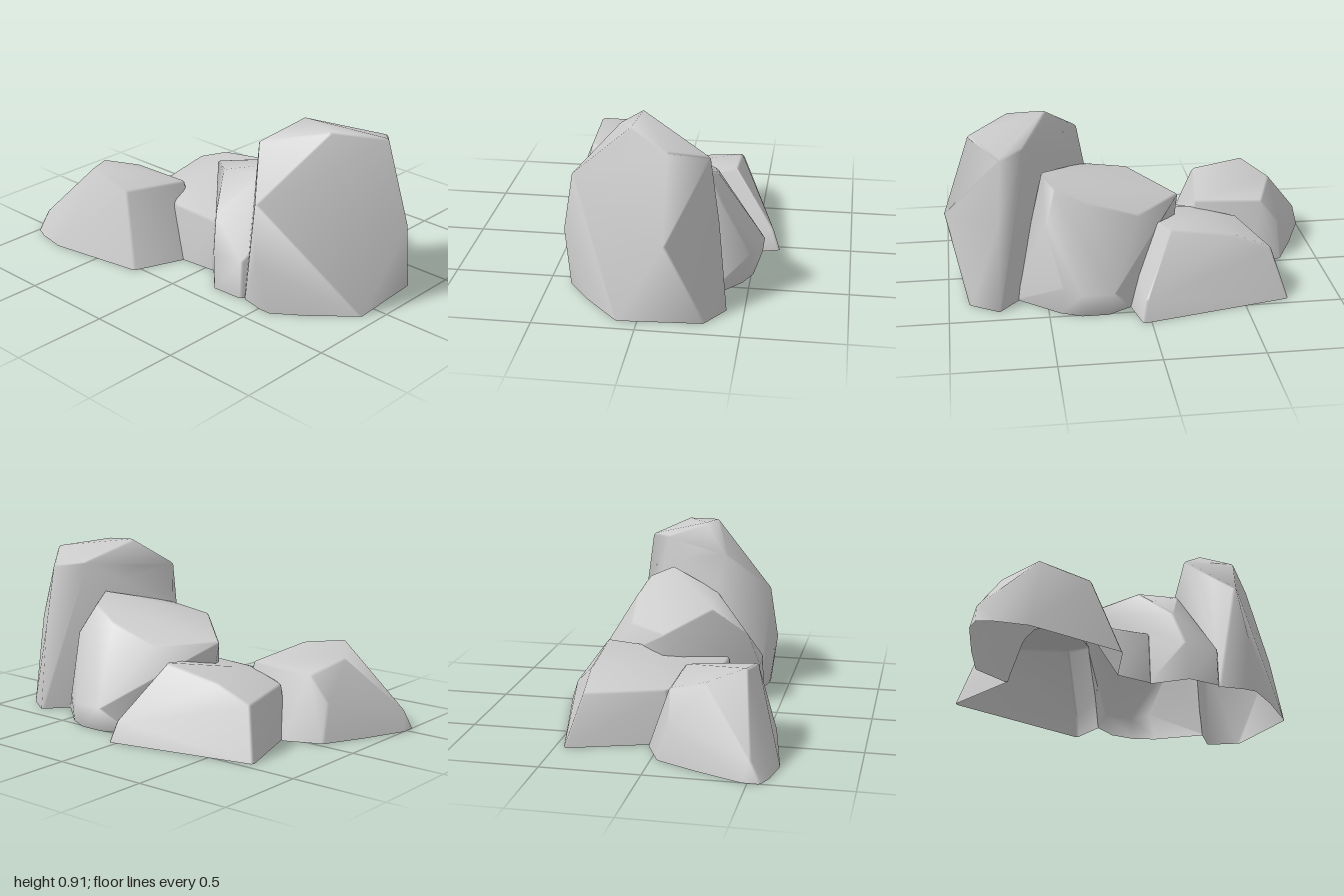
import * as THREE from 'three';
import { ConvexGeometry } from 'three/addons/geometries/ConvexGeometry.js';
import { mergeVertices } from 'three/addons/utils/BufferGeometryUtils.js';

const material = new THREE.MeshStandardMaterial({ color: 0xcccccc, side: THREE.DoubleSide });
const BEVEL = 0.012;

// Corner positions of the boulders, base first
const boulders = {
  // Tall upright slab
  tallBoulder: [
    [0.38, 0, 0.36], [0.5, 0, 0.385], [0.57, 0, 0.385], [0.73, 0, 0.27], [0.92, 0, 0.1],
    [0.89, 0, -0.32], [0.75, 0, -0.41], [0.3, 0, 0.12],
    [0.51, 0.27, 0.43], [0.47, 0.565, 0.39], [1, 0.44, -0.14],
    [0.74, 0.46, -0.37], [0.26, 0.57, 0.12],
    [0.3, 0.78, 0.17], [0.47, 0.91, 0.03], [0.66, 0.895, 0.06],
    [0.86, 0.855, -0.14], [0.72, 0.785, -0.32], [0.6, 0.8, -0.21],
  ],
  // Medium boulder leaning on the slab
  middleBoulder: [
    [0.19, 0, 0.385], [0.36, 0, 0.375], [0.04, 0, 0.24], [-0.15, 0, -0.1], [0.08, 0, -0.44],
    [0.2, 0, -0.51], [0.34, 0, -0.51], [0.45, 0, -0.46], [0.66, 0, -0.28],
    [0.18, 0.13, -0.555], [0.34, 0.13, -0.555], [0.43, 0.15, -0.5],
    [0.18, 0.2, 0.38], [0.36, 0.2, 0.37], [0.14, 0.38, 0.32],
    [0.02, 0.44, -0.29], [0.29, 0.53, -0.32], [0.45, 0.6, -0.28], [0.5, 0.46, -0.36],
    [-0.21, 0.45, -0.06], [0.03, 0.535, 0.15], [0.27, 0.575, 0.13], [0.5, 0.645, -0.16],
  ],
  // Low wedge at the back, running through to the front
  backBoulder: [
    [-0.73, 0, -0.45], [0.04, 0, -0.625], [0.08, 0, -0.45], [0.045, 0, 0.25],
    [-0.15, 0, 0.27], [-0.57, 0, 0.05],
    [-0.65, 0.255, -0.37], [-0.46, 0.335, -0.38], [-0.13, 0.385, -0.38], [0.02, 0.1, -0.59],
    [-0.3, 0.35, -0.12], [-0.55, 0.265, 0.02], [-0.3, 0.305, 0.1],
    [-0.25, 0.265, 0.22], [0.045, 0.27, 0.235],
  ],
  // Low boulder at the front corner
  frontBoulder: [
    [-1, 0, 0.48], [-1, 0, 0.56], [-0.93, 0, 0.59], [-0.77, 0, 0.62], [-0.25, 0, 0.53],
    [-0.15, 0, 0.27], [-0.25, 0, 0.03], [-0.62, 0, -0.05], [-0.8, 0, 0.03], [-0.9, 0, 0.23],
    [-0.98, 0.1, 0.51], [-0.79, 0.2, 0.08],
    [-0.65, 0.44, 0.44], [-0.38, 0.385, 0.45], [-0.33, 0.34, 0.08],
    [-0.69, 0.33, 0.07], [-0.77, 0.395, 0.26],
  ],
};

// Convex hull of the corners, each pulled in and chamfered by a tiny octahedron
function chamferedHull(corners) {
  const points = corners.map(c => new THREE.Vector3(...c));
  const middle = points.reduce((sum, p) => sum.add(p), new THREE.Vector3()).divideScalar(points.length);
  const chamfered = [];
  for (const p of points) {
    const inset = middle.clone().sub(p).setLength(BEVEL).add(p);
    if (p.y === 0) inset.y = 0;
    for (const axis of ['x', 'y', 'z']) {
      for (const side of [-BEVEL, BEVEL]) {
        const q = inset.clone();
        q[axis] += side;
        q.y = Math.max(q.y, 0);
        chamfered.push(q);
      }
    }
  }
  return new ConvexGeometry(chamfered);
}

// Outward planes of a hull
function hullPlanes(hull) {
  const p = hull.getAttribute('position');
  const planes = [];
  for (let i = 0; i < p.count; i += 3) {
    const [a, b, c] = [0, 1, 2].map(k => new THREE.Vector3().fromBufferAttribute(p, i + k));
    const plane = new THREE.Plane().setFromCoplanarPoints(a, b, c);
    if (plane.normal.lengthSq() > 0.5) planes.push(plane);
  }
  return planes;
}

// Triangles of a hull without its underside, with soft area-weighted normals
function openFaces(hull) {
  const p = hull.getAttribute('position');
  const kept = [];
  for (let i = 0; i < p.count; i += 3) {
    if (Math.max(p.getY(i), p.getY(i + 1), p.getY(i + 2)) < 0.001) continue;
    for (let k = i; k < i + 3; k++) kept.push(p.getX(k), p.getY(k), p.getZ(k));
  }
  const open = new THREE.BufferGeometry();
  open.setAttribute('position', new THREE.Float32BufferAttribute(kept, 3));
  const soft = mergeVertices(open, 1e-5);
  soft.computeVertexNormals();
  const corner = i => ({
    p: new THREE.Vector3().fromBufferAttribute(soft.getAttribute('position'), i),
    n: new THREE.Vector3().fromBufferAttribute(soft.getAttribute('normal'), i),
  });
  const faces = [];
  const index = soft.index.array;
  for (let i = 0; i < index.length; i += 3) faces.push([0, 1, 2].map(k => corner(index[i + k])));
  return faces;
}

// Divides a polygon at a plane
function split(polygon, plane) {
  const outside = [], inside = [];
  polygon.forEach((a, i) => {
    const b = polygon[(i + 1) % polygon.length];
    const da = plane.distanceToPoint(a.p) - 1e-6, db = plane.distanceToPoint(b.p) - 1e-6;
    (da > 0 ? outside : inside).push(a);
    if (da > 0 !== db > 0) {
      const t = da / (da - db);
      const cut = { p: a.p.clone().lerp(b.p, t), n: a.n.clone().lerp(b.n, t).normalize() };
      outside.push(cut);
      inside.push(cut);
    }
  });
  return [outside, inside];
}

// Removes the part of a polygon buried in another boulder
function subtract(polygon, planes) {
  const pieces = [];
  let rest = polygon;
  for (const plane of planes) {
    const [outside, inside] = split(rest, plane);
    if (outside.length > 2) pieces.push(outside);
    if (inside.length < 3) return [polygon];
    rest = inside;
  }
  return pieces;
}

export function createModel() {
  const group = new THREE.Group();
  group.name = 'boulderCluster';
  const hulls = Object.entries(boulders).map(([name, corners]) => ({ name, hull: chamferedHull(corners) }));
  const planes = hulls.map(({ hull }) => hullPlanes(hull));

  hulls.forEach(({ name, hull }, self) => {
    let faces = openFaces(hull);
    planes.forEach((other, i) => {
      if (i !== self) faces = faces.flatMap(face => subtract(face, other));
    });
    const positions = [], normals = [];
    for (const face of faces) {
      for (let k = 1; k < face.length - 1; k++) {
        for (const { p, n } of [face[0], face[k], face[k + 1]]) {
          positions.push(p.x, p.y, p.z);
          normals.push(n.x, n.y, n.z);
        }
      }
    }
    const geometry = new THREE.BufferGeometry();
    geometry.setAttribute('position', new THREE.Float32BufferAttribute(positions, 3));
    geometry.setAttribute('normal', new THREE.Float32BufferAttribute(normals, 3));
    const mesh = new THREE.Mesh(geometry, material);
    mesh.name = name;
    group.add(mesh);
  });
  return group;
}
